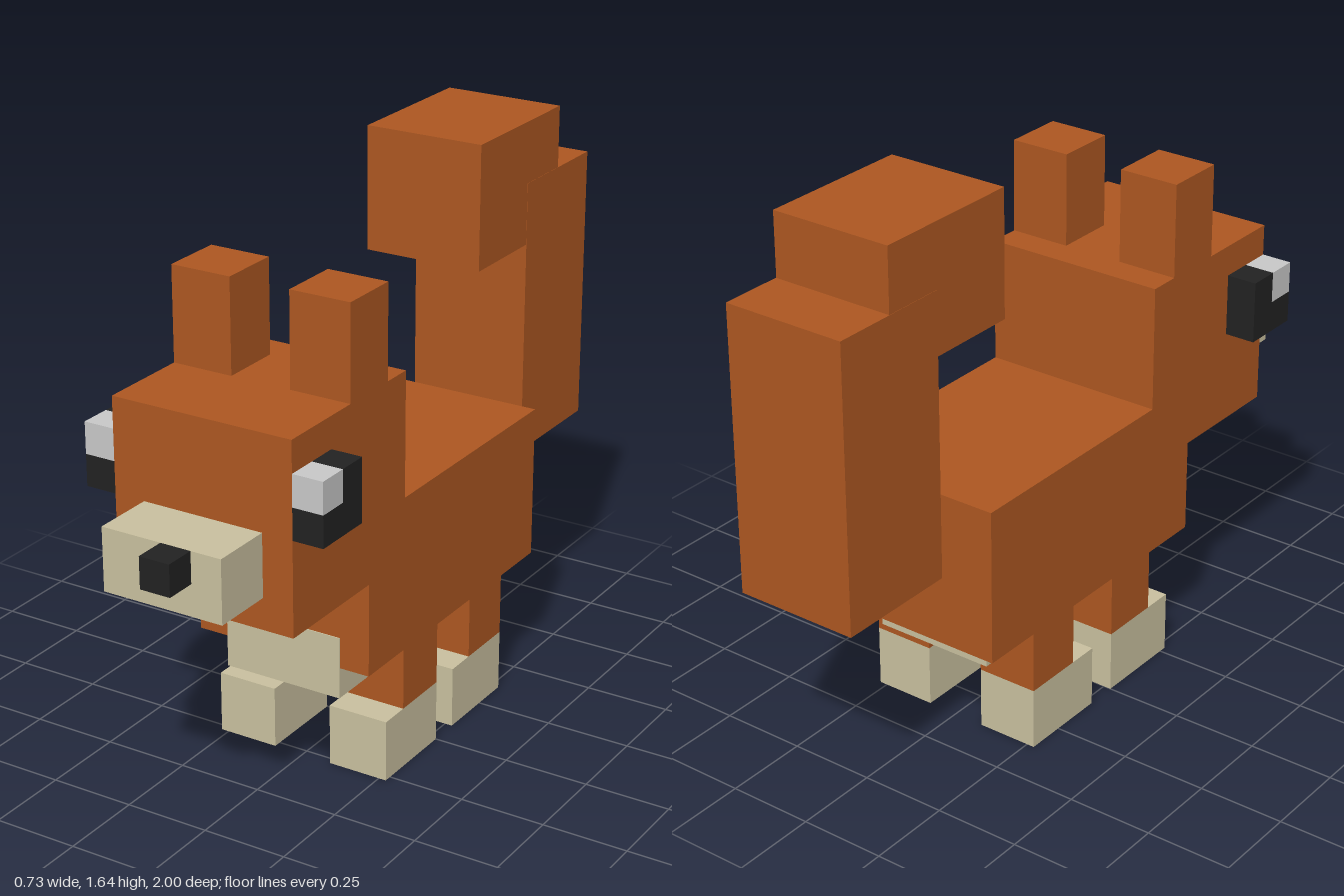
import * as THREE from 'three';

const U = 1 / 11; // one block unit

function material(name, color) {
  const m = new THREE.MeshStandardMaterial({ color });
  m.name = name;
  return m;
}

export function createModel() {
  const model = new THREE.Group();
  model.name = 'blockyFox';
  const fur = material('rust fur', 0xad5721);
  const cream = material('cream', 0xc9c09f);
  const black = material('black', 0x222222);
  const white = material('eye white', 0xc8c8c8);

  // Box given by its extents in block units
  function block(name, mat, [x0, x1], [y0, y1], [z0, z1]) {
    const geometry = new THREE.BoxGeometry((x1 - x0) * U, (y1 - y0) * U, (z1 - z0) * U);
    const mesh = new THREE.Mesh(geometry, mat);
    mesh.position.set((x0 + x1) / 2 * U, (y0 + y1) / 2 * U, (z0 + z1) / 2 * U);
    mesh.name = name;
    model.add(mesh);
  }

  // Same box on the left (+x) and right (-x)
  function pair(name, mat, [x0, x1], y, z) {
    block('left' + name, mat, [x0, x1], y, z);
    block('right' + name, mat, [-x1, -x0], y, z);
  }

  // Body and belly patch, which wraps slightly up the chest
  block('body', fur, [-3, 3], [4, 9], [-6, 4]);
  block('belly', cream, [-2, 2], [3, 5], [-5, 4.03]);

  // Head, muzzle and off-centre nose
  block('head', fur, [-3, 3], [7, 13], [2, 8]);
  block('muzzle', cream, [-2, 2], [8, 10], [8, 10]);
  block('nose', black, [0, 1], [9, 10], [10, 11]);
  pair('Ear', fur, [1, 3], [13, 16], [3, 5]);

  // Eyes: an L of black around a white highlight
  pair('EyeLower', black, [3, 4], [10, 11], [6, 8]);
  pair('EyeBack', black, [3, 4], [11, 12], [6, 7]);
  pair('EyeHighlight', white, [3, 4], [11, 12], [7, 8]);

  // Legs with longer cream feet
  for (const [end, z] of [['Front', 0], ['Back', -4]]) {
    pair(end + 'Leg', fur, [1, 3], [2, 4], [z, z + 2]);
    pair(end + 'Foot', cream, [1, 3], [0, 2], [z, z + 3]);
  }

  // Upright tail with a forward curl
  block('tail', fur, [-2, 2], [7, 16], [-11, -7]);
  block('tailTip', fur, [-1.99, 1.99], [14, 18], [-9, -4]);

  return model;
}
